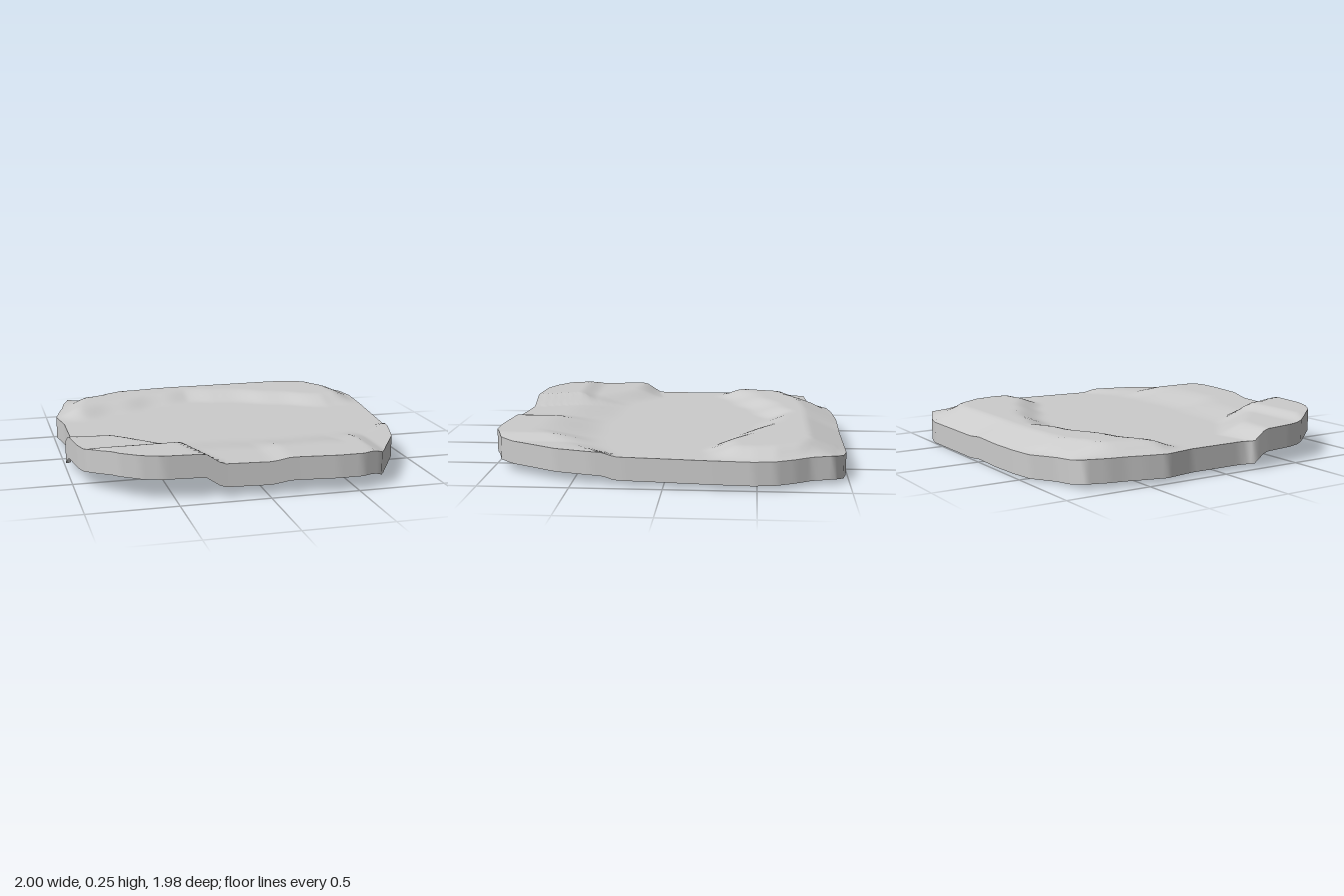
import * as THREE from 'three';

const THICKNESS = 0.13;
const FLOOR = 0.16;
const CREST = 0.213;

// Outline seen from above (x, z), clockwise from the right-hand side
const OUTLINE = [
  [-0.96, -0.2], [-0.99, -0.38], [-0.96, -0.5], [-0.93, -0.6], [-0.91, -0.7], [-0.87, -0.82],
  [-0.77, -0.84], [-0.68, -0.87], [-0.54, -0.96], [-0.4, -0.98], [-0.2, -0.993], [0, -0.99],
  [0.62, -0.993], [0.72, -0.97], [0.83, -0.92], [0.87, -0.79], [0.93, -0.7], [0.98, -0.6],
  [1, -0.48], [0.985, -0.25], [0.96, 0], [0.94, 0.22], [0.91, 0.4], [0.85, 0.6], [0.73, 0.8],
  [0.65, 0.94], [0.52, 0.99], [0.38, 0.99], [0.18, 0.967], [-0.2, 0.93], [-0.57, 0.9],
  [-0.68, 0.86], [-0.78, 0.79], [-0.87, 0.68], [-0.93, 0.6], [-0.965, 0.48], [-0.99, 0.3],
  [-1, 0.2], [-0.97, 0.17], [-0.96, 0.12],
];

// Height of the raised front bank along x
const FRONT_BANK = [[-1, 0.22], [-0.87, 0.22], [-0.76, 0.25], [-0.34, 0.25], [-0.25, 0.19],
  [0.02, 0.19], [0.12, 0.21], [0.6, 0.21], [0.69, 0.18], [0.92, 0.18]];
// z where the front bank starts and stops rising
const BANK_START = [[-1, 0.16], [-0.75, 0.14], [-0.5, 0.3], [-0.2, 0.36], [0.5, 0.4], [0.9, 0.26]];
const BANK_END = [[-1, 0.28], [-0.75, 0.36], [-0.5, 0.6], [-0.2, 0.7], [0.5, 0.8], [0.9, 0.36]];
// z of the steep step below the back ridge
const STEP = [[-1, -0.28], [-0.8, -0.34], [-0.6, -0.43], [-0.3, -0.56], [-0.1, -0.63],
  [0.1, -0.59], [0.3, -0.51], [0.6, -0.35], [0.75, -0.29], [1, -0.32]];
// Back edge along x: its z and its height
const BACK_Z = [[-0.87, -0.82], [-0.68, -0.87], [-0.54, -0.96], [-0.2, -0.993], [0.62, -0.993],
  [0.83, -0.92]];
const BACK_HEIGHT = [[-0.87, 0.16], [-0.77, 0.142], [-0.4, 0.142], [0, 0.145], [0.12, 0.132],
  [0.7, 0.132], [0.83, 0.16]];
// x of the side edges along z
const LEFT_EDGE = [[-0.96, 0.54], [-0.87, 0.68], [-0.82, 0.87], [-0.6, 0.93], [-0.38, 0.99],
  [-0.2, 0.96]];
const RIGHT_EDGE = [[-0.99, 0.66], [-0.92, 0.83], [-0.79, 0.87], [-0.6, 0.98], [-0.48, 1],
  [-0.2, 0.98]];

const { smoothstep, lerp, clamp } = THREE.MathUtils;

function along(table, x) {
  if (x <= table[0][0]) return table[0][1];
  for (let i = 1; i < table.length; i++) {
    const [x0, y0] = table[i - 1], [x1, y1] = table[i];
    if (x <= x1) return lerp(y0, y1, (x - x0) / (x1 - x0));
  }
  return table[table.length - 1][1];
}

function frontHeight(x, z) {
  // The hollow beside the high corner runs diagonally inwards
  const slanted = x + 0.3 * (0.92 - z) * clamp(-x / 0.3, 0, 1);
  const cap = lerp(0.22, 0.252, smoothstep(z, 0.55, 0.68));
  const top = Math.min(along(FRONT_BANK, slanted), cap);
  const wave = 0.015 * Math.sin(x * 11);
  const bank = smoothstep(z, along(BANK_START, x) + wave, along(BANK_END, x) + wave);
  return lerp(FLOOR, top, bank);
}

function backHeight(x, z) {
  // Steep towards the floor, gentle towards the back edge, level with the side edges
  const step = along(STEP, x) + 0.01 * Math.sin(x * 21);
  const rise = smoothstep(-z, -step - 0.1, -step + 0.1);
  const edge = x < 0 ? along(LEFT_EDGE, z) : along(RIGHT_EDGE, z);
  const inset = smoothstep(edge - Math.abs(x), 0, 0.16);
  const backEdge = along(BACK_Z, x);
  const fall = clamp((backEdge + 0.2 - z) / 0.2, 0, 1);
  const ridge = lerp(FLOOR, CREST, rise * inset);
  return lerp(ridge, along(BACK_HEIGHT, x), fall);
}

const height = (x, z) => (z > 0 ? frontHeight(x, z) : backHeight(x, z));

function makeMesh(name, positions, indices, material) {
  const geometry = new THREE.BufferGeometry();
  geometry.setAttribute('position', new THREE.Float32BufferAttribute(positions, 3));
  geometry.setIndex(indices);
  geometry.computeVertexNormals();
  const mesh = new THREE.Mesh(geometry, material);
  mesh.name = name;
  return mesh;
}

// Quads between neighbouring closed loops of n points
function joinLoops(loops, n) {
  const indices = [];
  for (let r = 0; r < loops - 1; r++) {
    for (let i = 0; i < n; i++) {
      const j = (i + 1) % n;
      const a = r * n + i, b = r * n + j, c = a + n, d = b + n;
      indices.push(a, d, c, a, b, d);
    }
  }
  return indices;
}

export function createModel() {
  const group = new THREE.Group();
  group.name = 'terrainSlab';
  const material = new THREE.MeshStandardMaterial({ color: 0xcccccc, side: THREE.DoubleSide });

  // Evenly subdivided rim
  const rim = [];
  OUTLINE.forEach(([x0, z0], i) => {
    const [x1, z1] = OUTLINE[(i + 1) % OUTLINE.length];
    const parts = Math.ceil(Math.hypot(x1 - x0, z1 - z0) / 0.035);
    for (let k = 0; k < parts; k++) rim.push([lerp(x0, x1, k / parts), lerp(z0, z1, k / parts)]);
  });
  const n = rim.length;

  // Ground surface: loops growing from the middle to the rim
  const rings = 45;
  const top = [];
  for (let r = 0; r < rings; r++) {
    const s = Math.max(r, 0.01) / (rings - 1);
    for (const [x, z] of rim) top.push(x * s, height(x * s, z * s), z * s);
  }
  // The rim runs clockwise from above, so the faces are reversed to look up
  const topFaces = joinLoops(rings, n).reverse();

  // Side wall: an open skirt that follows the rim height
  const side = [];
  for (const drop of [THICKNESS, 0]) {
    for (const [x, z] of rim) side.push(x, height(x, z) - drop, z);
  }
  const sideFaces = joinLoops(2, n).reverse();

  group.add(
    makeMesh('groundSurface', top, topFaces, material),
    makeMesh('sideWall', side, sideFaces, material),
  );
  return group;
}
